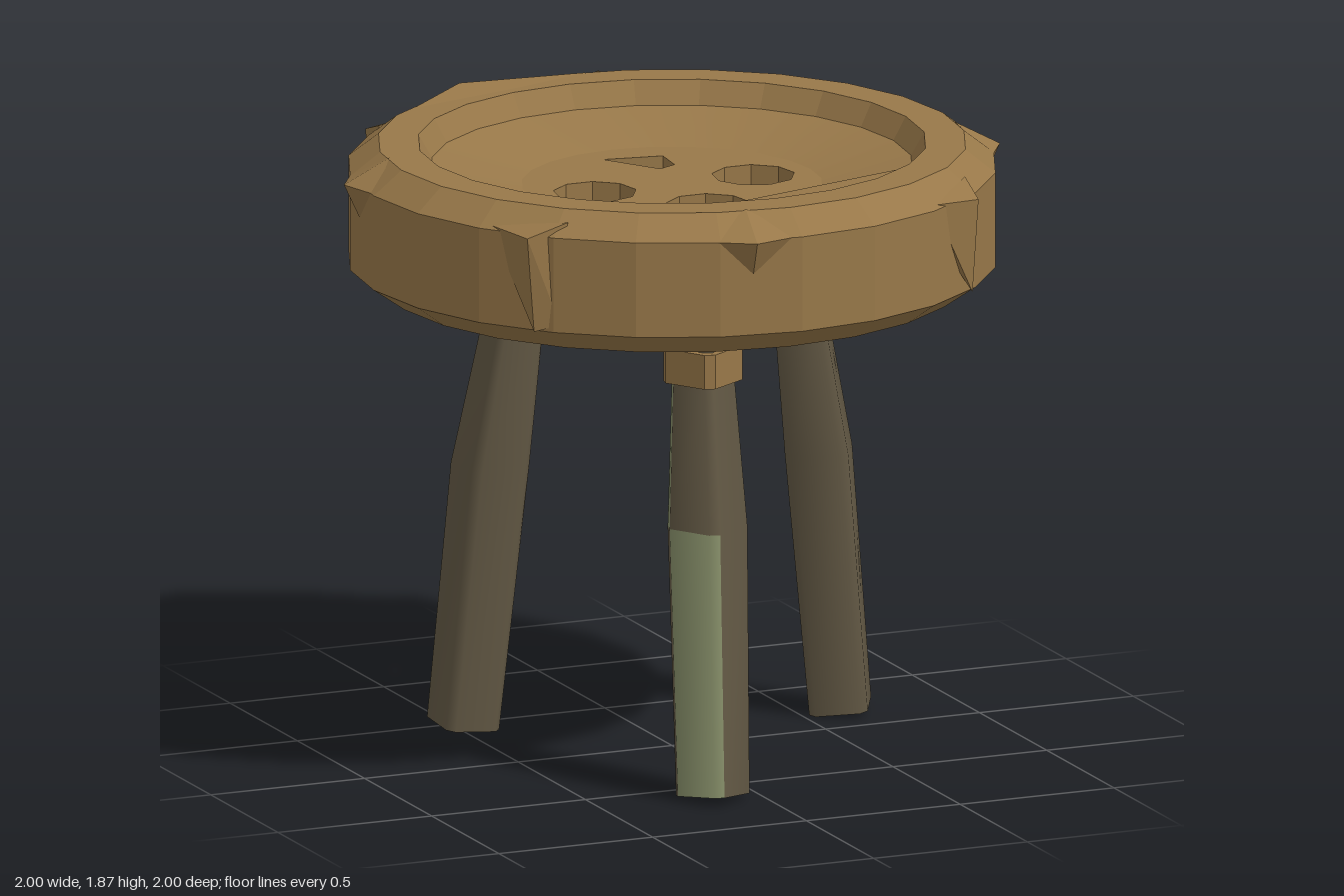
import * as THREE from 'three';
import { toCreasedNormals } from 'three/addons/utils/BufferGeometryUtils.js';
import { ConvexGeometry } from 'three/addons/geometries/ConvexGeometry.js';

const material = (name, color) => {
  const m = new THREE.MeshStandardMaterial({ color });
  m.name = name;
  return m;
};
const RAD = Math.PI / 180;
const SIDES = 24;

export function createModel() {
  const seatWood = material('seatWood', 0x987849);
  const legWood = material('legWood', 0x625844);
  const mossWood = material('mossWood', 0x858d68);

  const model = new THREE.Group();
  model.name = 'stool';
  const add = (parent, name, geometry, mat) => {
    const mesh = new THREE.Mesh(geometry, mat);
    mesh.name = name;
    parent.add(mesh);
    return mesh;
  };

  // Seat: bevelled rim with a shallow dish above and a recess below
  const seat = new THREE.Group();
  seat.name = 'seat';
  model.add(seat);
  const profile = [
    [0.45, 1.47], [0.68, 1.47], [0.73, 1.43], [0.87, 1.43], [0.97, 1.5], [0.97, 1.79],
    [0.88, 1.86], [0.76, 1.86], [0.72, 1.79], [0.45, 1.73],
  ].map(([r, y]) => new THREE.Vector2(r, y));
  add(seat, 'seatRim', toCreasedNormals(new THREE.LatheGeometry(profile, SIDES), 0.1), seatWood);

  // Dish floor: two layers, rounded holes above narrower ragged ones
  const path = (points, Type) => new Type(points.map(([x, z]) => new THREE.Vector2(x, -z)));
  const circle = (cx, cz, r, n) => Array.from({ length: n }, (_, i) => {
    const a = (i / n) * Math.PI * 2;
    return [cx + r * Math.sin(a), cz + r * Math.cos(a)];
  });
  const floorLayer = (name, holes, y) => {
    const shape = path(circle(0, 0, 0.45, SIDES), THREE.Shape);
    shape.holes = holes.map((h) => path(h, THREE.Path));
    const geo = new THREE.ExtrudeGeometry(shape, { depth: 0.13, bevelEnabled: false });
    geo.rotateX(-Math.PI / 2).translate(0, y, 0);
    add(seat, name, geo, seatWood);
  };
  const ragged = [
    [[-0.07, -0.35], [0.11, -0.32], [0.1, -0.21], [0.04, -0.18]],
    [[-0.25, -0.12], [-0.2, -0.11], [-0.16, 0], [-0.21, 0.1], [-0.29, 0.1], [-0.33, 0.01]],
    [[0.2, -0.1], [0.28, -0.1], [0.3, 0.1], [0.18, -0.01]],
    [[-0.09, 0.2], [-0.02, 0.17], [0.1, 0.2], [0.03, 0.38]],
  ];
  floorLayer('floorBottom', ragged, 1.47);
  floorLayer('floorTop', [
    ragged[0], circle(-0.25, 0, 0.125, 9), circle(0.265, 0, 0.125, 9), circle(0, 0.27, 0.125, 9),
  ], 1.6);

  // Splinters around the rim, given as tangent, height, radius
  const hull = (points) => new ConvexGeometry(points.map((p) => new THREE.Vector3(...p)));
  const chip = hull([
    [-0.14, 1.79, 0.95], [0.14, 1.79, 0.95], [0, 1.66, 0.95], [0, 1.79, 1.01], [0, 1.865, 0.87],
  ]);
  const ridge = hull([
    [-0.14, 1.8, 0.94], [0.11, 1.83, 0.92], [0.02, 1.79, 1.01], [0.03, 1.5, 0.985],
    [-0.03, 1.6, 0.95], [0.1, 1.52, 0.95],
  ]);
  for (let i = 0; i < 4; i++) {
    add(seat, 'rimChip', chip, seatWood).rotation.y = (-9 + 90 * i) * RAD;
    add(seat, 'rimRidge', ridge, seatWood).rotation.y = (40 + 90 * i) * RAD;
  }

  // Raised sliver on the back rim and a ledge left in the front of the dish
  add(seat, 'backSliver', hull([
    [-0.62, 1.855, -0.62], [-0.32, 1.875, -0.85], [0.1, 1.86, -0.87], [-0.1, 1.855, -0.76],
    [-0.3, 1.84, -0.75], [-0.33, 1.8, -0.88],
  ]), seatWood);
  add(seat, 'dishLedge', hull([
    [0.61, 1.82, 0.42], [0.3, 1.83, 0.69], [0, 1.83, 0.74], [-0.3, 1.82, 0.68],
    [-0.08, 1.79, 0.58], [0.2, 1.78, 0.48], [0.58, 1.77, 0.37], [0.3, 1.72, 0.6], [-0.2, 1.72, 0.65],
  ]), seatWood);

  // Loft of chamfered squares set corner-out; a row is [y, radial position, width, slope]
  const loft = (rows, isMoss = () => false) => {
    const pos = [];
    const plain = [];
    const moss = [];
    for (const [y, out, width, slope = 0] of rows) {
      const r = (width / 2) / Math.cos(37 * RAD);
      for (let j = 0; j < 8; j++) {
        const a = (90 * Math.floor(j / 2) + (j % 2 ? 8 : -8)) * RAD;
        const z = r * Math.cos(a);
        pos.push(r * Math.sin(a), y + slope * z, out + z);
      }
    }
    const last = (rows.length - 1) * 8;
    for (let i = 0; i < rows.length - 1; i++) {
      for (let j = 0; j < 8; j++) {
        const a = i * 8 + j;
        const b = i * 8 + ((j + 1) % 8);
        (isMoss(i, j) ? moss : plain).push(a, b, b + 8, a, b + 8, a + 8);
      }
    }
    for (let j = 1; j < 7; j++) plain.push(0, j + 1, j, last, last + j, last + j + 1);
    const geo = new THREE.BufferGeometry();
    geo.setAttribute('position', new THREE.Float32BufferAttribute(pos, 3));
    geo.setIndex([...plain, ...moss]);
    geo.addGroup(0, plain.length, 0);
    if (moss.length) geo.addGroup(plain.length, moss.length, 1);
    return geo;
  };

  // Three splayed legs, some with mossy panels, each with a wooden collar
  const legs = [
    { name: 'frontLeg', angle: -13, moss: (i, j) => (i === 0 ? j === 7 || j === 0 : j >= 4 && j <= 6) },
    { name: 'leftLeg', angle: 107, moss: (i, j) => i > 0 && j >= 1 && j <= 3 },
    { name: 'backLeg', angle: 227, moss: () => false },
  ];
  const legRows = [
    [0.017, 0.66, 0.175, 0.13], [0.82, 0.575, 0.19], [1.25, 0.505, 0.15], [1.52, 0.49, 0.135],
  ];
  const collar = toCreasedNormals(loft([[1.25, 0.5, 0.188], [1.355, 0.5, 0.188]]), 0.1);
  for (const { name, angle, moss } of legs) {
    const leg = new THREE.Group();
    leg.name = name;
    leg.rotation.y = angle * RAD;
    model.add(leg);
    add(leg, 'legPost', toCreasedNormals(loft(legRows, moss), 0.9), [legWood, mossWood]);
    add(leg, 'legCollar', collar, seatWood);
  }
  return model;
}
